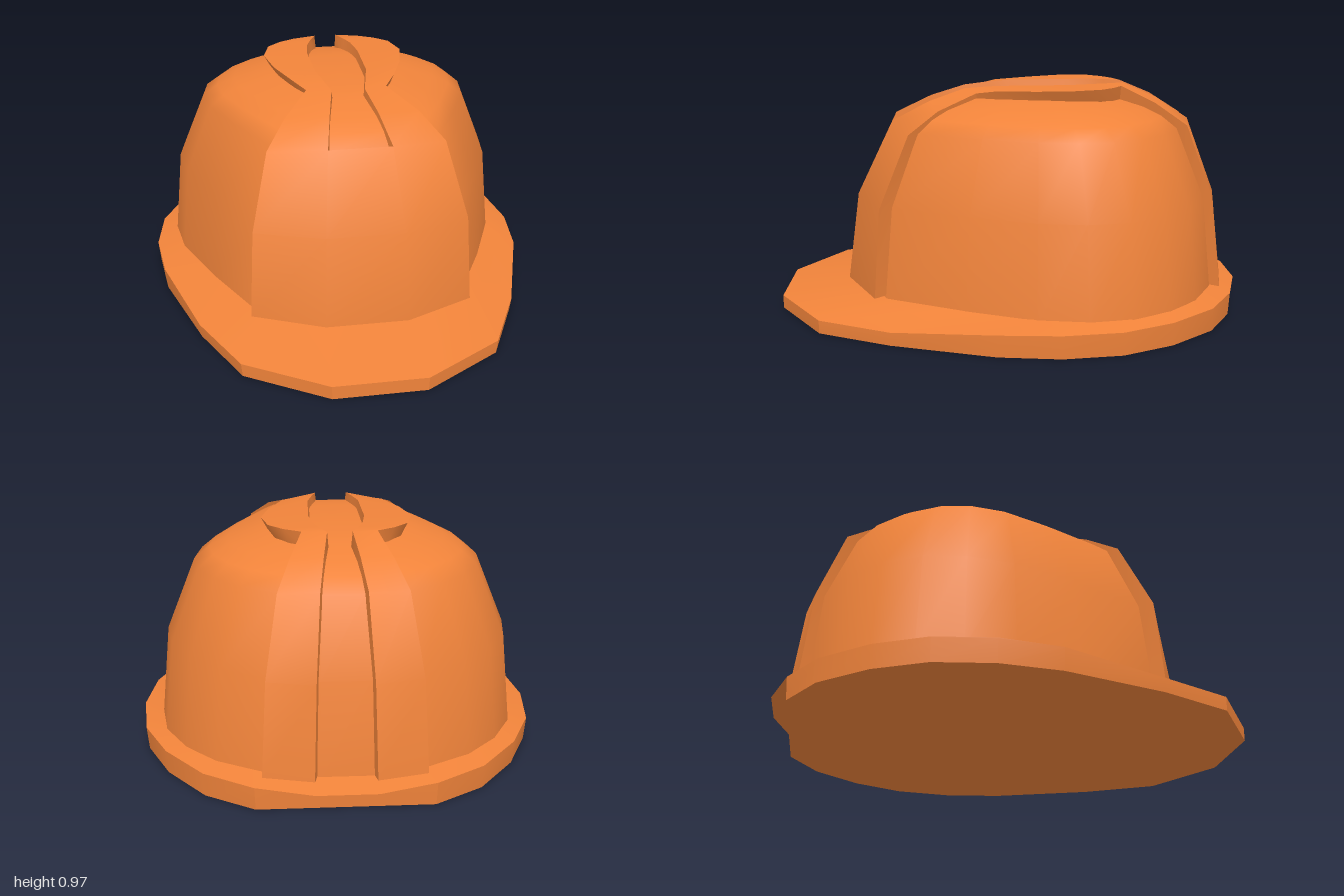
import * as THREE from 'three';
import { mergeGeometries, toCreasedNormals } from 'three/addons/utils/BufferGeometryUtils.js';

// Surface through rings of [x, y, z] points, ordered bottom to top
function loft(rings, closed) {
  const n = rings[0].length, index = [];
  for (let i = 0; i < rings.length - 1; i++) {
    for (let j = 0; j < (closed ? n : n - 1); j++) {
      const a = i * n + j, b = i * n + (j + 1) % n;
      index.push(a, b, b + n, a, b + n, a + n);
    }
  }
  const g = new THREE.BufferGeometry();
  g.setAttribute('position', new THREE.Float32BufferAttribute(rings.flat(2), 3));
  g.setIndex(index);
  g.computeVertexNormals();
  return g;
}

// Mirror a half outline of [x, z] points (front to back) into a full loop
const mirrorLoop = half => [...half, ...half.map(([x, z]) => [-x, z]).reverse()];

const shellOutline = mirrorLoop([[0.17, 0.65], [0.43, 0.53], [0.6, 0.2], [0.72, -0.08], [0.75, -0.28],
  [0.72, -0.46], [0.63, -0.62], [0.5, -0.75], [0.31, -0.85], [0.1, -0.9]]);
const brimOutline = mirrorLoop([[0.19, 1], [0.52, 0.8], [0.67, 0.5], [0.81, 0.08], [0.84, -0.17],
  [0.81, -0.41], [0.71, -0.62], [0.55, -0.81], [0.35, -0.93], [0.12, -1]]);

const CZ = -0.13;
const scaled = (loop, k, y) => loop.map(([x, z]) => [x * k, y, CZ + (z - CZ) * k]);

// Push a point towards the inside of the dome
function inward([x, y, z], depth) {
  const p = new THREE.Vector3(x, y, z);
  const d = new THREE.Vector3(0, Math.min(y, 0.4), THREE.MathUtils.clamp(z, -0.45, 0.1)).sub(p);
  return p.addScaledVector(d.normalize(), depth).toArray();
}

// Raised band stations, front to back: inner edge [x, y, z], outer edge [x, y, z]
const stations = [
  [[0.17, 0.135, 0.71], [0.46, 0.13, 0.575]],
  [[0.16, 0.51, 0.66], [0.44, 0.5, 0.55]],
  [[0.13, 0.82, 0.51], [0.365, 0.795, 0.43]],
  [[0.1, 0.9, 0.35], [0.28, 0.88, 0.31]],
  [[0.07, 0.95, 0.2], [0.17, 0.94, 0.15]],
  [[0.09, 0.96, 0.1], [0.22, 0.955, 0.06]],
  [[0.11, 0.965, 0], [0.28, 0.96, -0.1]],
  [[0.115, 0.967, -0.25], [0.31, 0.965, -0.25]],
  [[0.1, 0.97, -0.36], [0.28, 0.967, -0.37]],
  [[0.08, 0.97, -0.42], [0.22, 0.967, -0.43]],
  [[0.05, 0.97, -0.49], [0.15, 0.967, -0.47]],
  [[0.07, 0.91, -0.63], [0.2, 0.9, -0.61]],
  [[0.09, 0.82, -0.77], [0.25, 0.81, -0.74]],
  [[0.11, 0.5, -0.89], [0.3, 0.5, -0.85]],
  [[0.12, 0.12, -0.935], [0.32, 0.12, -0.89]],
];
const SKIRT = 0.07;

// One band with side skirts and closed ends, on side s
function band(s) {
  const section = ([a, b]) => [inward(a, SKIRT), a, b, inward(b, SKIRT)];
  const rings = stations.map(section);
  const sunk = ([a, b]) => [a, a, b, b].map(p => inward(p, SKIRT));
  rings.unshift(sunk(stations[0]));
  rings.push(sunk(stations[stations.length - 1]));
  if (s < 0) rings.forEach((r, i) => { rings[i] = r.map(([x, y, z]) => [-x, y, z]).reverse(); });
  return loft(rings, false);
}

// Front plate joining the two bands below the central channel
function frontPlate() {
  const rings = stations.slice(0, 3).map(([[x, y, z]]) => [[-x, y, z], [x, y, z]]);
  const first = rings[0].map(p => inward(p, SKIRT));
  const last = rings[2].map(p => inward(p, SKIRT));
  return loft([first, ...rings, last], false);
}

export function createModel() {
  const group = new THREE.Group();
  const material = new THREE.MeshStandardMaterial({ color: 0xf0833a, side: THREE.DoubleSide });
  const add = (name, geometry) => {
    const mesh = new THREE.Mesh(geometry, material);
    mesh.name = name;
    group.add(mesh);
  };

  // Brim: flat underside, upright wall, thin lip overhanging at the back
  const rimY = z => (z >= 0.5 ? 0.06 : z > 0 ? 0.095 : 0.1);
  const brim = loft([
    brimOutline.map(() => [0, 0.003, 0]),
    brimOutline.map(([x, z]) => [x * 0.99, 0.003, Math.max(z, -0.925)]),
    brimOutline.map(([x, z]) => [x, rimY(z) - 0.004, Math.max(z, -0.93)]),
    brimOutline.map(([x, z]) => [x, rimY(z), z]),
    scaled(shellOutline, 0.97, 0.125),
  ], true);
  add('brim', toCreasedNormals(brim, 0.4));

  // Dome shell: the base outline shrinking towards the crown
  const profile = [[1, 0.1], [0.945, 0.5], [0.785, 0.795], [0.7, 0.845], [0.6, 0.88],
    [0.42, 0.917], [0.25, 0.93], [0, 0.932]];
  add('domeShell', loft(profile.map(([k, y]) => scaled(shellOutline, k, y)), true));

  // Raised bands running over the crown
  add('raisedBands', toCreasedNormals(mergeGeometries([band(1), band(-1), frontPlate()]), 0.75));

  return group;
}
